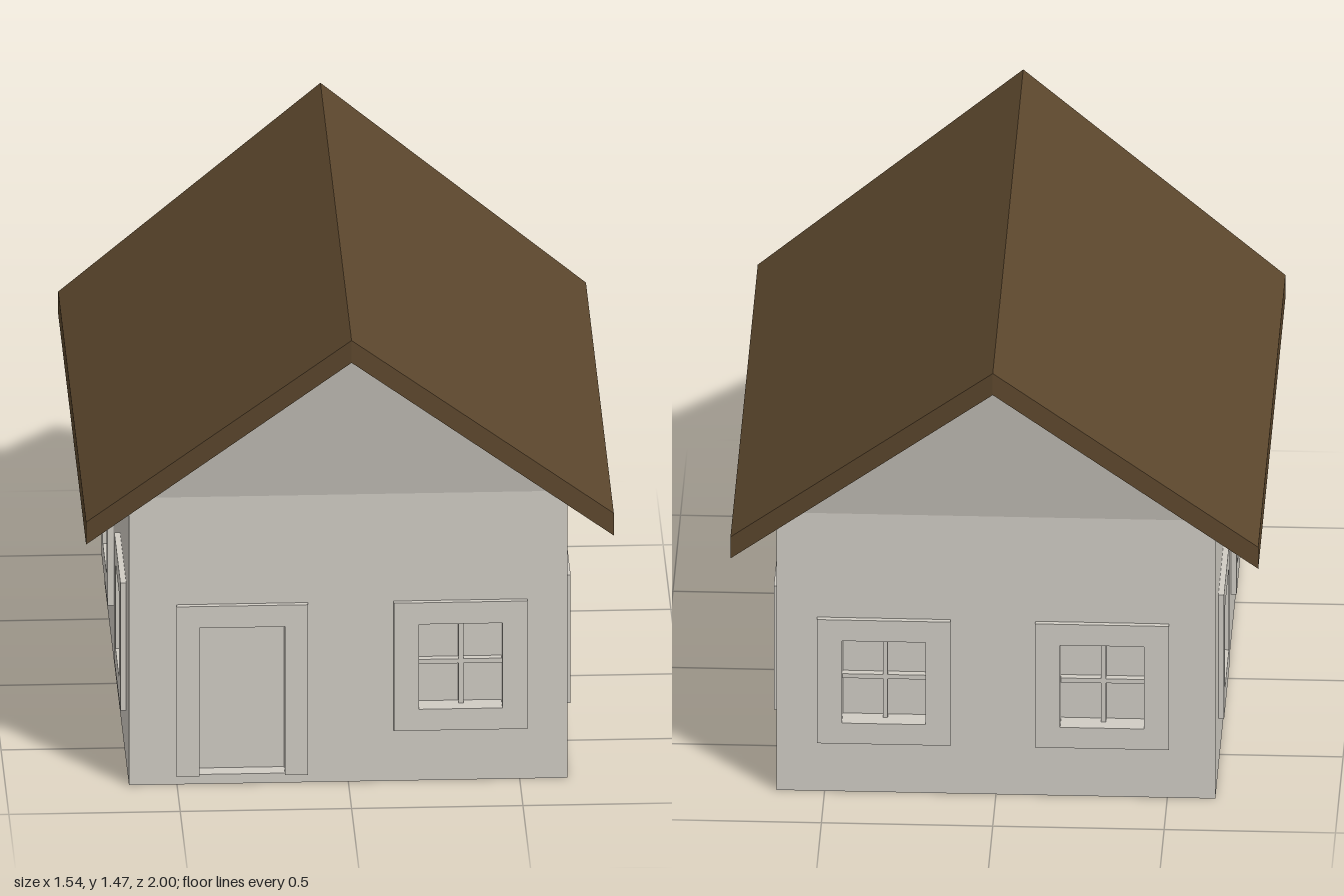
import * as THREE from 'three';

const wallMat = new THREE.MeshStandardMaterial({ color: 0xd0ccc4 });
wallMat.name = 'plaster';
const roofMat = new THREE.MeshStandardMaterial({ color: 0x5c472d });
roofMat.name = 'roofBrown';

const THICK = 0.05; // wall depth in front of the recessed panes
const TRIM = 0.017; // how far the frames stand out

function mesh(name, geometry, material = wallMat) {
  const m = new THREE.Mesh(geometry, material);
  m.name = name;
  return m;
}

function polygon(points, Type = THREE.Shape) {
  return new Type(points.map(([x, y]) => new THREE.Vector2(x, y)));
}

function rect(x0, x1, y0, y1) {
  return [[x0, y0], [x1, y0], [x1, y1], [x0, y1]];
}

function slab(shape, depth, z = 0) {
  return new THREE.ExtrudeGeometry(shape, { depth, bevelEnabled: false }).translate(0, 0, z);
}

function bar(name, w, h, d, x, y, z) {
  const b = mesh(name, new THREE.BoxGeometry(w, h, d));
  b.position.set(x, y, z);
  return b;
}

// Prism along z whose end faces are bent by endZ(x, y)
function bentPrism(points, endZ) {
  const g = slab(polygon(points), 2, -1);
  const p = g.attributes.position;
  for (let i = 0; i < p.count; i++) p.setZ(i, Math.sign(p.getZ(i)) * endZ(p.getX(i), p.getY(i)));
  g.computeVertexNormals();
  return g;
}

// Frame and glazing bars; z = 0 is the outer wall surface
function makeWindow(x) {
  const g = new THREE.Group();
  g.name = 'window';
  const shape = polygon(rect(x - 0.195, x + 0.195, 0.163, 0.565));
  shape.holes.push(polygon(rect(x - 0.122, x + 0.122, 0.23, 0.497), THREE.Path));
  g.add(
    mesh('windowFrame', slab(shape, TRIM)),
    bar('verticalBar', 0.014, 0.267, 0.025, x + 0.003, 0.3635, -THICK + 0.0125),
    bar('horizontalBar', 0.244, 0.014, 0.023, x, 0.362, -THICK + 0.0115),
  );
  return g;
}

function makeDoor(x) {
  const g = new THREE.Group();
  g.name = 'door';
  const frame = polygon([
    [x - 0.192, 0.03], [x - 0.125, 0.03], [x - 0.125, 0.497], [x + 0.125, 0.497],
    [x + 0.125, 0.03], [x + 0.192, 0.03], [x + 0.192, 0.565], [x - 0.192, 0.565],
  ]);
  g.add(mesh('doorFrame', slab(frame, TRIM)));
  return g;
}

// One wall with openings, turned to face its side of the house
function makeWall(name, width, distance, angle, windows, door) {
  const g = new THREE.Group();
  g.name = name;
  const shape = polygon(rect(-width / 2, width / 2, 0, 0.903));
  for (const x of windows) {
    shape.holes.push(polygon(rect(x - 0.122, x + 0.122, 0.23, 0.497), THREE.Path));
    g.add(makeWindow(x));
  }
  if (door !== undefined) {
    shape.holes.push(polygon(rect(door - 0.125, door + 0.125, 0.03, 0.497), THREE.Path));
    g.add(makeDoor(door));
  }
  g.add(mesh(name + 'Panel', slab(shape, THICK, -THICK)));
  g.rotation.y = angle;
  g.position.set(Math.sin(angle) * distance, 0, Math.cos(angle) * distance);
  return g;
}

export function createModel() {
  const house = new THREE.Group();
  house.name = 'house';

  // Inner block: its sides are the window panes and the door leaf
  house.add(bar('innerBlock', 1.28 - 2 * THICK, 0.9, 1.58 - 2 * THICK, 0, 0.45, 0));

  house.add(
    makeWall('frontWall', 1.28, 0.79, 0, [0.327], -0.31),
    makeWall('backWall', 1.28, 0.79, Math.PI, [0.31, -0.327]),
    makeWall('leftWall', 1.58 - 2 * THICK, 0.64, Math.PI / 2, [-0.418, 0.398]),
    makeWall('rightWall', 1.58 - 2 * THICK, 0.64, -Math.PI / 2, [0.418, -0.398]),
  );

  // Gables lean outward towards the ridge
  house.add(mesh('gables', bentPrism(
    [[-0.64, 0.903], [0.64, 0.903], [0, 1.4]],
    (x, y) => 0.79 + 0.11 * (y - 0.903) / 0.497,
  )));

  // Roof: folded slab, longer at the ridge than at the eaves
  house.add(mesh('roof', bentPrism(
    [[0, 1.472], [-0.77, 0.872], [-0.77, 0.802], [0, 1.402], [0.77, 0.802], [0.77, 0.872]],
    (x) => 1 - 0.105 * Math.abs(x) / 0.77,
  ), roofMat));

  return house;
}
